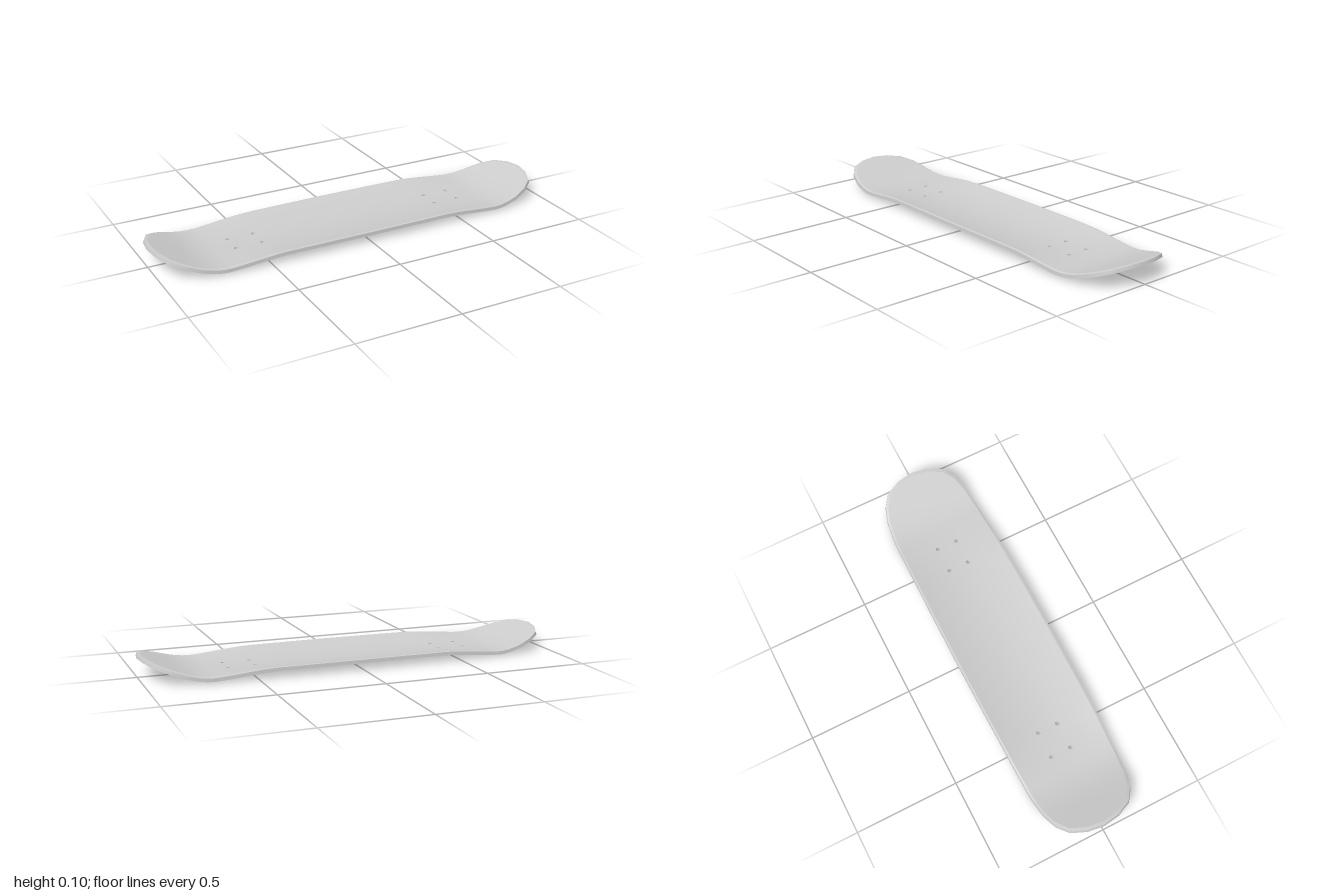
import * as THREE from 'three';
import { mergeVertices, toCreasedNormals } from 'three/addons/utils/BufferGeometryUtils.js';

const THICK = 0.021;
// Plan outline: distance from the middle, half width
const OUTLINE = [[0, 0.241], [0.3, 0.239], [0.55, 0.235], [0.73, 0.229], [0.83, 0.217],
  [0.9, 0.194], [0.955, 0.152], [0.988, 0.08], [1, 0]];
// Mounting holes
const HOLE_X = [-0.597, -0.468, 0.463, 0.592];
const HOLE_Z = [-0.055, 0.046];
const HOLE_R = 0.01;
// Grid lines, with narrow cells around the holes
const XS = [0, 0.15, 0.3, 0.4, 0.445, 0.485, 0.53, 0.575, 0.617, 0.67, 0.7, 0.73, 0.76, 0.795,
  0.83, 0.865, 0.9, 0.93, 0.955, 0.973, 0.988, 1];
const GRID_X = [...XS.slice(1).reverse().map((x) => -x), ...XS];
const GRID_V = [-1, -0.88, -0.7, -0.5, -0.31, -0.16, -0.02, 0.12, 0.27, 0.5, 0.7, 0.88, 1];
// Layers of the deck: plan scale along x, along z, and share of the thickness
const BOTTOM = [1, 1, 0], EDGE = [0.995, 0.993, 0.78], TOP = [0.98, 0.953, 1];

function halfWidth(x) {
  const a = Math.abs(x);
  const i = Math.max(1, OUTLINE.findIndex((p) => p[0] >= a - 1e-9));
  const [x0, w0] = OUTLINE[i - 1], [x1, w1] = OUTLINE[i];
  return w0 + (w1 - w0) * (a - x0) / (x1 - x0);
}

// Underside height: raised sides in the middle, upswept ends
function height(x, z) {
  const a = Math.abs(x), t = Math.max(0, a - 0.68);
  const kick = 0.365 * (t < 0.16 ? t * t / 0.32 : t - 0.08);
  const concave = 0.005 + 0.027 * (1 - THREE.MathUtils.smoothstep(a, 0.4, 0.78));
  const fade = 1 - THREE.MathUtils.smoothstep(a, 0.75, 0.95);
  return kick + concave * fade * Math.pow(Math.abs(z) / 0.24, 2);
}

const point = (x, z, share) => [x, height(x, z) + THICK * share, z];
const gridPoint = (x, v, [sx, sz, share]) => point(x * sx, v * halfWidth(x) * sz, share);

// Hole corners, two per corner of the surrounding cell
function holeRing(x, z, share) {
  return Array.from({ length: 8 }, (_, k) => {
    const a = (247.5 - 45 * k) * Math.PI / 180;
    return point(x + HOLE_R * Math.cos(a), z + HOLE_R * Math.sin(a), share);
  });
}

function fromTriangles(tris) {
  const g = new THREE.BufferGeometry();
  g.setAttribute('position', new THREE.Float32BufferAttribute(tris.flat(2), 3));
  return g;
}

// Upper or lower skin with the holes left open
function skin(layer, up) {
  const tris = [];
  const add = (a, b, c) => tris.push(up ? [a, b, c] : [a, c, b]);
  for (let i = 0; i < GRID_X.length - 1; i++) {
    for (let j = 0; j < GRID_V.length - 1; j++) {
      const corners = [[i, j], [i, j + 1], [i + 1, j + 1], [i + 1, j]]
        .map(([m, n]) => gridPoint(GRID_X[m], GRID_V[n], layer));
      const [a, b, c, d] = corners;
      const hx = HOLE_X.find((x) => x > a[0] && x < d[0]);
      const hz = HOLE_Z.find((z) => z > a[2] && z < b[2]);
      if (hx === undefined || hz === undefined) {
        add(a, b, c);
        add(a, c, d);
        continue;
      }
      const ring = holeRing(hx, hz, layer[2]);
      for (let k = 0; k < 8; k++) {
        const n = (k + 1) % 8, o = corners[k >> 1], o2 = corners[n >> 1];
        if (o !== o2) add(o, o2, ring[n]);
        add(o, ring[n], ring[k]);
      }
    }
  }
  const g = mergeVertices(fromTriangles(tris), 1e-5);
  g.computeVertexNormals();
  return g;
}

// Wall through a stack of closed rings
function wall(rings) {
  const tris = [];
  for (let r = 0; r < rings.length - 1; r++) {
    const lo = rings[r], hi = rings[r + 1];
    for (let k = 0; k < lo.length; k++) {
      const n = (k + 1) % lo.length;
      tris.push([lo[k], lo[n], hi[n]], [lo[k], hi[n], hi[k]]);
    }
  }
  return toCreasedNormals(fromTriangles(tris), 0.7);
}

function outlineRing(layer) {
  const inner = GRID_X.slice(1);
  return [...inner.map((x) => gridPoint(x, 1, layer)),
    ...inner.map((x) => gridPoint(-x, -1, layer))];
}

export function createModel() {
  const group = new THREE.Group();
  group.name = 'skateboardDeck';
  const material = new THREE.MeshStandardMaterial({ color: 0xcccccc });
  const add = (geometry, name) => {
    const mesh = new THREE.Mesh(geometry, material);
    mesh.name = name;
    group.add(mesh);
  };

  add(skin(TOP, true), 'deckTop');
  add(skin(BOTTOM, false), 'deckUnderside');
  add(wall([BOTTOM, EDGE, TOP].map(outlineRing)), 'deckRim');

  // Bolt hole walls, facing inward
  for (const x of HOLE_X) {
    for (const z of HOLE_Z) add(wall([holeRing(x, z, 1), holeRing(x, z, 0)]), 'boltHole');
  }
  return group;
}
